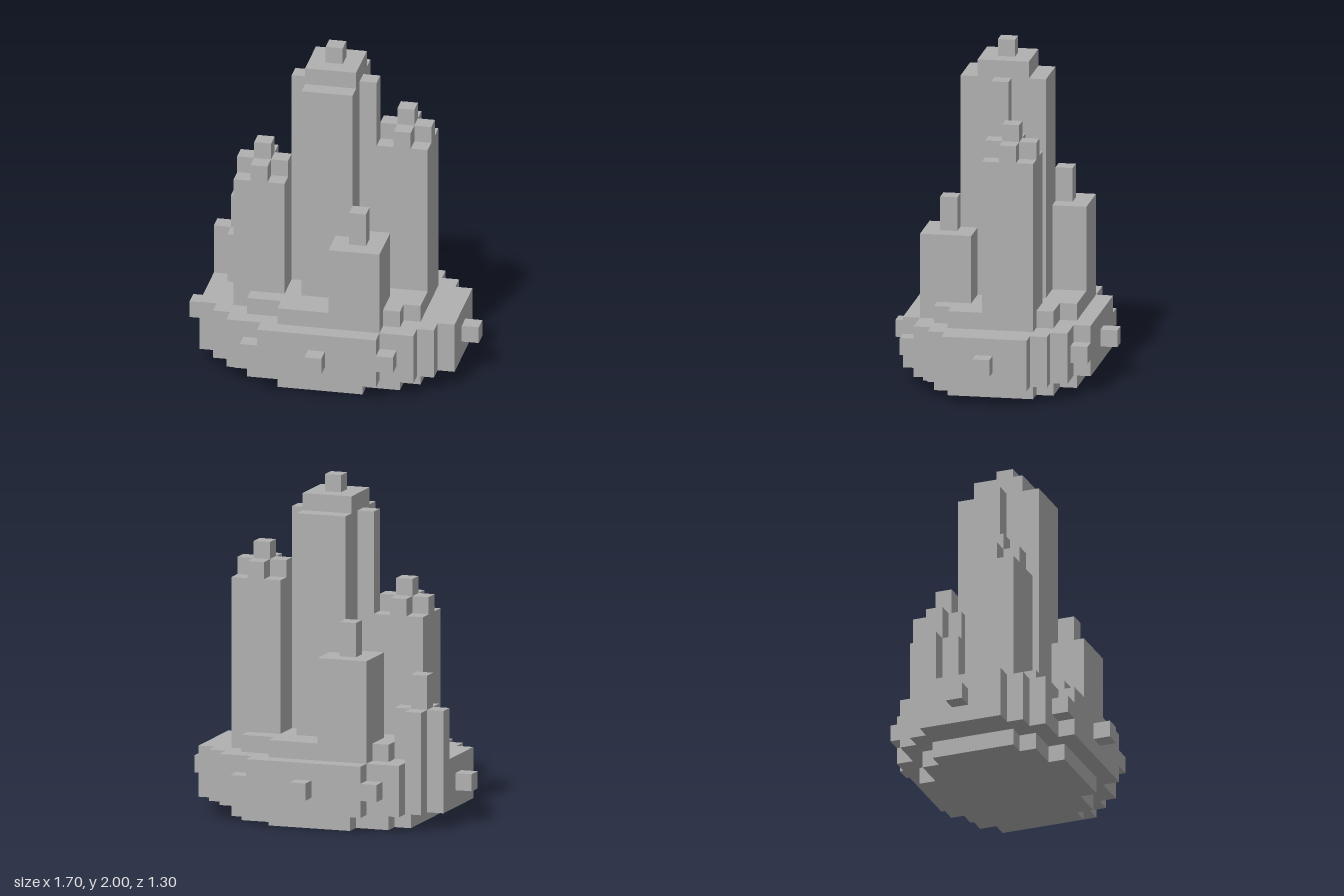
import * as THREE from 'three';

const stone = new THREE.MeshStandardMaterial({ color: 0xb0b0b0 });
stone.name = 'grey stone';

// Box given by centre x, z, footprint and bottom / top heights
function block(parent, name, x, z, w, d, y0, y1) {
  const mesh = new THREE.Mesh(new THREE.BoxGeometry(w, y1 - y0, d), stone);
  mesh.name = name;
  mesh.position.set(x, (y0 + y1) / 2, z);
  parent.add(mesh);
}

// Slab with a stepped oval outline; steps are [half width, half depth], widest first
function steppedSlab(parent, name, steps, y0, y1) {
  const quarter = [];
  steps.forEach(([x, z], i) => {
    if (i > 0) quarter.push([x, steps[i - 1][1]]);
    quarter.push([x, z]);
  });
  const back = [...quarter].reverse();
  const outline = [
    ...quarter,
    ...back.map(([x, z]) => [-x, z]),
    ...quarter.map(([x, z]) => [-x, -z]),
    ...back.map(([x, z]) => [x, -z]),
  ];
  const shape = new THREE.Shape(outline.map(([x, z]) => new THREE.Vector2(x, z)));
  const geometry = new THREE.ExtrudeGeometry(shape, { depth: y1 - y0, bevelEnabled: false });
  geometry.rotateX(-Math.PI / 2);
  const mesh = new THREE.Mesh(geometry, stone);
  mesh.name = name;
  mesh.position.y = y0;
  parent.add(mesh);
}

function part(parent, name) {
  const group = new THREE.Group();
  group.name = name;
  parent.add(group);
  return group;
}

// Square tower crowned by a plus of blocks and a finial
function crownedTower(parent, name, x, z, top) {
  const g = part(parent, name);
  block(g, 'shaft', x, z, 0.3, 0.3, 0.4, top);
  block(g, 'crownCentre', x, z, 0.1, 0.1, top, top + 0.2);
  for (const s of [-1, 1]) {
    block(g, 'crownArm', x + s * 0.1, z, 0.1, 0.1, top, top + 0.1);
    block(g, 'crownArm', x, z + s * 0.1, 0.1, 0.1, top, top + 0.1);
  }
}

// Square tower with a thin spire
function spireTower(parent, name, x, z, top) {
  const g = part(parent, name);
  block(g, 'shaft', x, z, 0.3, 0.3, 0.4, top);
  block(g, 'spire', x, z, 0.1, 0.1, top, top + 0.2);
}

export function createModel() {
  const model = new THREE.Group();
  model.name = 'blockCastle';

  // Foundation, wide platform and low terrace
  const inner = [[0.55, 0.25], [0.45, 0.35], [0.25, 0.45]];
  steppedSlab(model, 'foundation', inner, 0, 0.1);
  steppedSlab(model, 'platform', [[0.75, 0.25], [0.65, 0.35], [0.55, 0.45], [0.35, 0.55]], 0.1, 0.4);
  steppedSlab(model, 'terrace', inner, 0.4, 0.5);

  // Studs around the platform rim
  const studs = part(model, 'rimStuds');
  for (const s of [-1, 1]) {
    block(studs, 'stud', s * 0.8, 0, 0.1, 0.1, 0.2, 0.3);
    block(studs, 'stud', 0, s * 0.6, 0.1, 0.1, 0.2, 0.3);
    for (const t of [-1, 1]) block(studs, 'stud', s * 0.4, t * 0.5, 0.1, 0.1, 0.2, 0.3);
  }

  // Main keep with front and back slabs, side columns and finial
  const keep = part(model, 'mainKeep');
  block(keep, 'core', 0, 0, 0.3, 0.3, 0.5, 1.9);
  block(keep, 'finial', 0, 0, 0.1, 0.1, 1.9, 2);
  for (const s of [-1, 1]) {
    block(keep, 'wallSlab', 0, s * 0.2, 0.3, 0.1, 0.5, 1.8);
    block(keep, 'sideColumn', s * 0.2, 0, 0.1, 0.1, 0.5, 1.8);
  }

  // Surrounding towers
  crownedTower(model, 'leftTower', 0.4, -0.1, 1.4);
  crownedTower(model, 'rightTower', -0.4, 0.1, 1.2);
  spireTower(model, 'frontTower', 0.2, 0.3, 0.9);
  spireTower(model, 'backTower', -0.2, -0.3, 1);

  // Small plus-shaped turret at the rim
  const turret = part(model, 'cornerTurret');
  block(turret, 'centre', -0.6, -0.2, 0.1, 0.1, 0.4, 0.9);
  for (const s of [-1, 1]) {
    block(turret, 'arm', -0.6 + s * 0.1, -0.2, 0.1, 0.1, 0.4, 0.7);
    block(turret, 'arm', -0.6, -0.2 + s * 0.1, 0.1, 0.1, 0.4, 0.7);
  }
  return model;
}
